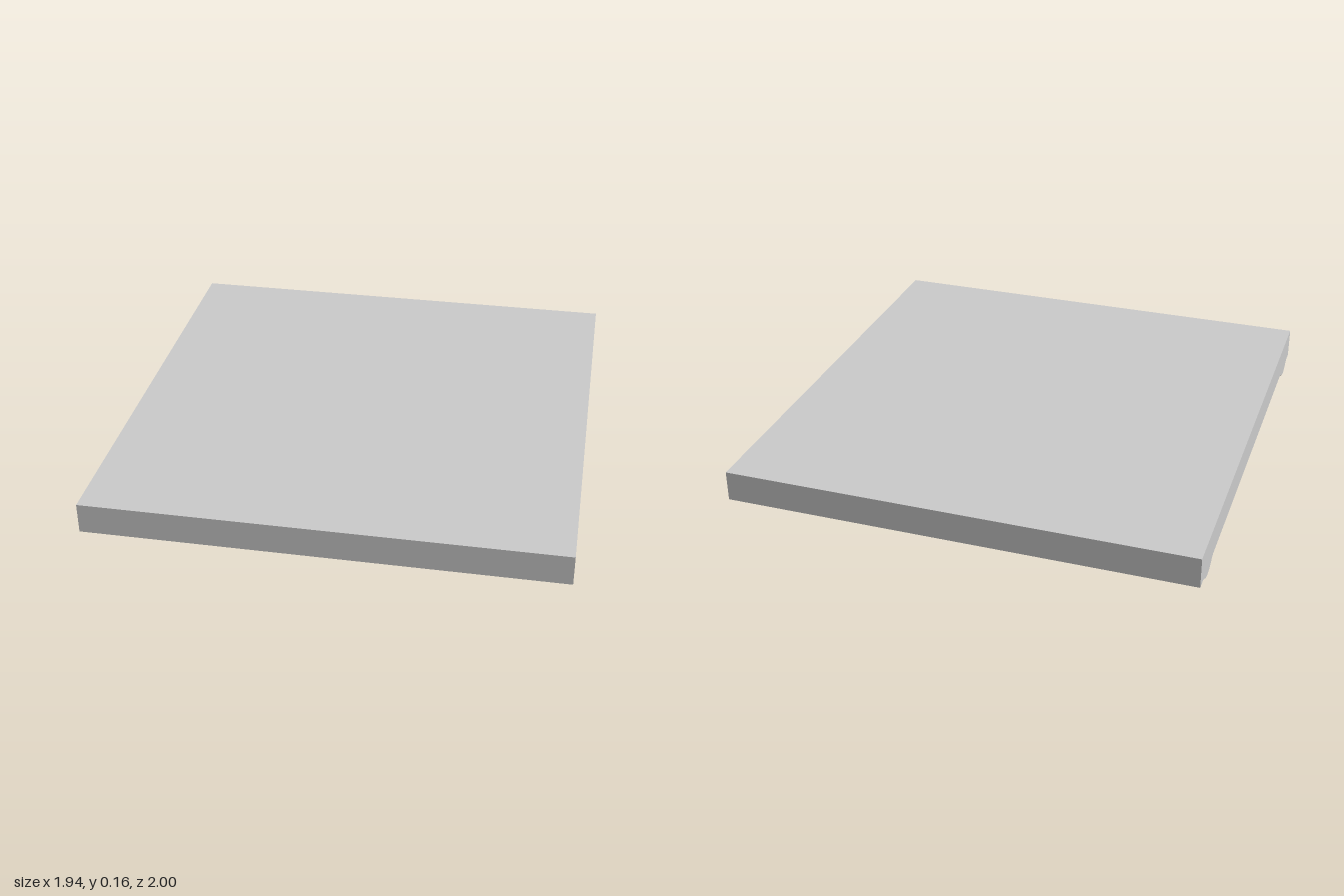
import * as THREE from 'three';
import { toCreasedNormals } from 'three/addons/utils/BufferGeometryUtils.js';

const HALF_X = 0.97, HALF_Z = 1, TOP = 0.16, BOTTOM = 0.033;

// Skin of rectangular rings [halfX, halfZ, y]; a zero-sized ring closes an end
function rectangleLoft(rings) {
  const signs = [[1, 1], [1, -1], [-1, -1], [-1, 1]];
  const corner = ([hx, hz, y], i) => [signs[i % 4][0] * hx, y, signs[i % 4][1] * hz];
  const positions = [];
  for (let r = 0; r < rings.length - 1; r++) {
    const a = rings[r], b = rings[r + 1];
    for (let i = 0; i < 4; i++) {
      const a0 = corner(a, i), a1 = corner(a, i + 1);
      const b0 = corner(b, i), b1 = corner(b, i + 1);
      if (b[0] > 0) positions.push(...a0, ...b0, ...b1);
      if (a[0] > 0) positions.push(...a0, ...b1, ...a1);
    }
  }
  const geometry = new THREE.BufferGeometry();
  geometry.setAttribute('position', new THREE.Float32BufferAttribute(positions, 3));
  geometry.computeVertexNormals();
  return geometry;
}

export function createModel() {
  const group = new THREE.Group();
  const material = new THREE.MeshStandardMaterial({ color: 0xcccccc });

  // Slab with nested rectangular recesses stepping up into its underside
  const rings = [[0, 0, TOP], [HALF_X, HALF_Z, TOP], [HALF_X, HALF_Z, BOTTOM]];
  const recesses = [[0.69, 0.71, 0.022], [0.41, 0.425, 0.046], [0.228, 0.236, 0.083]];
  let y = BOTTOM;
  for (const [hx, hz, depth] of recesses) {
    rings.push([hx, hz, y]);
    y = BOTTOM + depth;
    rings.push([hx, hz, y]);
  }
  rings.push([0, 0, y]);
  const slab = new THREE.Mesh(rectangleLoft(rings), material);
  slab.name = 'slab';
  group.add(slab);

  // Rounded moulding under the front and back edges, running the full width
  const profile = new THREE.Shape();
  profile.moveTo(-0.092, 0);
  profile.quadraticCurveTo(-0.078, -0.002, -0.06, -0.014);
  profile.quadraticCurveTo(-0.032, -BOTTOM, 0, -BOTTOM);
  profile.quadraticCurveTo(0.032, -BOTTOM, 0.06, -0.014);
  profile.quadraticCurveTo(0.078, -0.002, 0.092, 0);
  const extrusion = new THREE.ExtrudeGeometry(profile, {
    depth: 2 * HALF_X, bevelEnabled: false, curveSegments: 8,
  });
  extrusion.translate(0, 0, -HALF_X).rotateY(Math.PI / 2);
  const mouldingGeometry = toCreasedNormals(extrusion, 0.5);
  for (const [name, side] of [['frontMoulding', 1], ['backMoulding', -1]]) {
    const moulding = new THREE.Mesh(mouldingGeometry, material);
    moulding.name = name;
    moulding.position.set(0, BOTTOM, side * 0.86);
    group.add(moulding);
  }
  return group;
}
